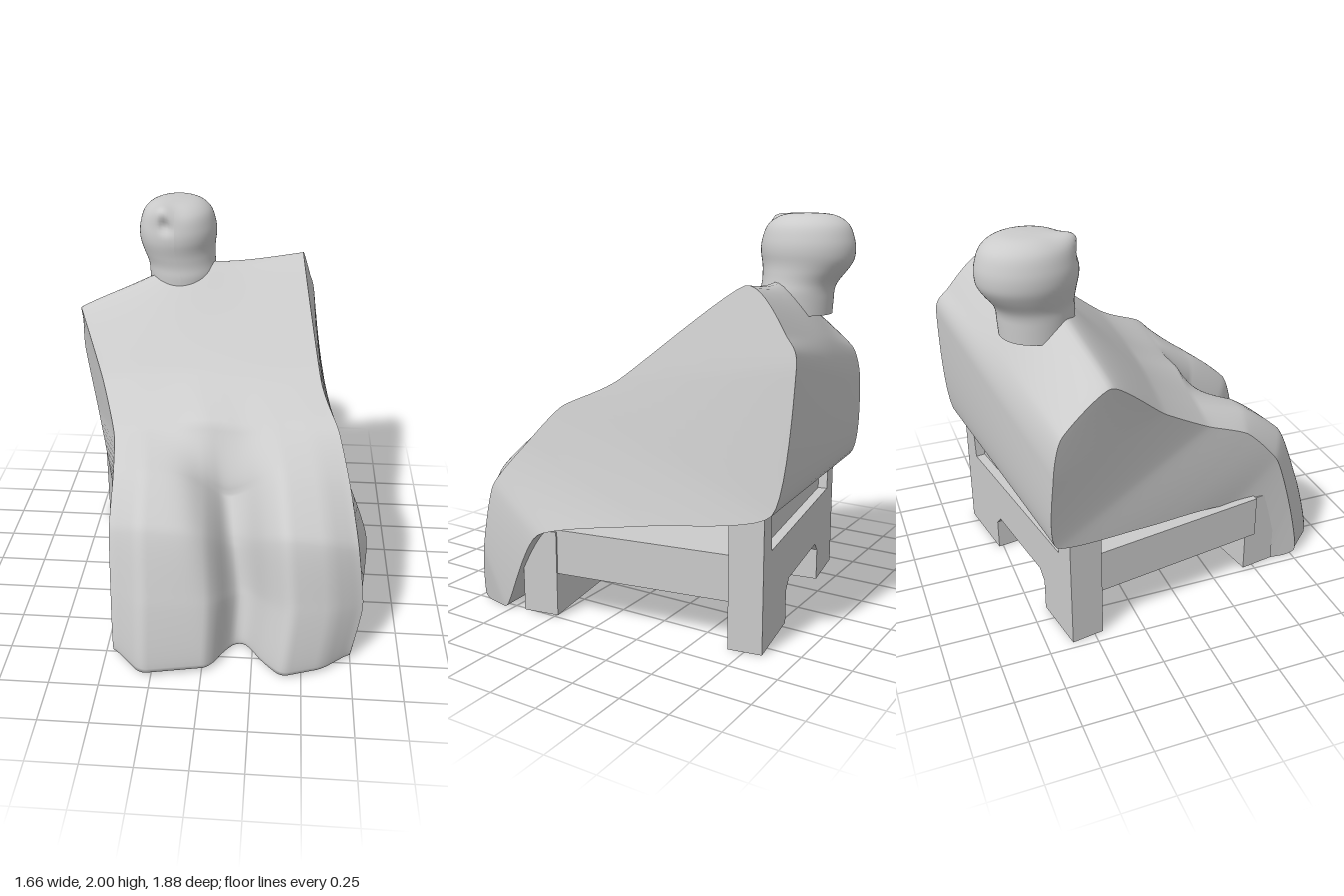
import * as THREE from 'three';

const material = new THREE.MeshStandardMaterial({ color: 0xcccccc });
const v3 = (p) => new THREE.Vector3(...p);
const bump = (d, width) => Math.exp(-((d / width) ** 2));

// Side outlines of the draped body: hem, shin, knee, lap, chest, shoulder, back, underside
const rightOutline = [
  [-0.46, 0.03, 0.76], [-0.47, 0.35, 0.7], [-0.48, 0.66, 0.6], [-0.48, 0.86, 0.42],
  [-0.51, 0.97, 0.18], [-0.61, 1.15, -0.1], [-0.77, 1.42, -0.42], [-0.82, 1.25, -0.67],
  [-0.83, 1.05, -0.72], [-0.77, 0.64, -0.7], [-0.62, 0.53, -0.2], [-0.47, 0.43, 0.36],
  [-0.44, 0.02, 0.58]];
const leftOutline = [
  [0.75, 0.02, 0.7], [0.8, 0.3, 0.66], [0.76, 0.63, 0.62], [0.71, 0.87, 0.43],
  [0.65, 1.07, 0.25], [0.56, 1.21, -0.02], [0.45, 1.69, -0.65], [0.5, 1.48, -0.89],
  [0.53, 1.35, -0.95], [0.6, 0.69, -0.88], [0.71, 0.57, -0.3], [0.83, 0.45, 0.28],
  [0.79, 0.01, 0.53]];

// Strength of the leg bulge and of the groove between the legs, per outline row
const legWeight = [1, 0.9, 0.75, 0.42, 0.1, 0, 0, 0, 0, 0, 0, 0, 0, 1];
const grooveDepth = [0.07, 0.1, 0.15, 0.15, -0.04, 0, 0, 0, 0, 0, 0, 0, 0, 0.07];
const sample = (list, row) => {
  const i = Math.min(Math.floor(row), list.length - 2);
  return THREE.MathUtils.lerp(list[i], list[i + 1], row - i);
};

// Leg bulge across the width: [position, height]
const legKnots = [[0, 0], [0.13, 1], [0.41, 0.7], [0.48, 0], [0.57, 0], [0.71, 1], [0.88, 0.65], [1, 0]];
function legBulge(u) {
  const i = Math.max(1, legKnots.findIndex((k) => k[0] >= u));
  const [u0, h0] = legKnots[i - 1], [u1, h1] = legKnots[i];
  return THREE.MathUtils.lerp(h0, h1, (u - u0) / (u1 - u0));
}

function bodyPoint(a, b, row, u) {
  const p = a.clone().lerp(b, u);
  const leg = (legBulge(Math.max(u - 0.02, 0)) + legBulge(u) + legBulge(Math.min(u + 0.02, 1))) / 3;
  const level = row > 12 ? 0 : Math.min(row, 4);
  const groove = bump(u - 0.53 + 0.02 * level, 0.06 + 0.022 * level);
  const push = 0.18 * sample(legWeight, row) * leg - sample(grooveDepth, row) * groove;
  const angle = Math.min(level * 0.36, 1.5);
  p.z += push * Math.cos(angle);
  p.y += push * Math.sin(angle);
  // rounded chest and shoulders, rising to the neck
  p.y += bump(row - 5.6, 1.15) * (0.07 * Math.sin(Math.PI * u ** 0.75)
    + 0.06 * bump(Math.hypot(p.x + 0.22, p.z + 0.6), 0.24));
  p.y = Math.max(p.y, 0);
  return p;
}

function makeGeometry(positions, indices) {
  const g = new THREE.BufferGeometry();
  g.setAttribute('position', new THREE.Float32BufferAttribute(positions, 3));
  g.setIndex(indices);
  g.computeVertexNormals();
  return g;
}

function addMesh(parent, name, geometry) {
  const mesh = new THREE.Mesh(geometry, material);
  mesh.name = name;
  parent.add(mesh);
  return mesh;
}

function createBody() {
  const group = new THREE.Group();
  group.name = 'drapedBody';
  const rows = 130, cols = 72;
  const curves = [rightOutline, leftOutline].map(
    (o) => new THREE.CatmullRomCurve3(o.map(v3), true, 'catmullrom', 0.3));

  // Cloth lofted from one side outline to the other
  const positions = [], indices = [];
  for (let i = 0; i < rows; i++) {
    const [a, b] = curves.map((c) => c.getPoint(i / rows));
    for (let j = 0; j <= cols; j++) {
      positions.push(...bodyPoint(a, b, (i / rows) * 13, j / cols).toArray());
    }
  }
  const at = (i, j) => (i % rows) * (cols + 1) + j;
  for (let i = 0; i < rows; i++) {
    for (let j = 0; j < cols; j++) {
      const a = at(i, j), b = at(i, j + 1), c = at(i + 1, j), d = at(i + 1, j + 1);
      indices.push(a, b, c, b, d, c);
    }
  }
  addMesh(group, 'clothFrontAndBack', makeGeometry(positions, indices));

  // Sides of the cloth: strips joining the front of each outline to its back
  for (const [name, j] of [['clothRightSide', 0], ['clothLeftSide', cols]]) {
    const pos = [], tris = [];
    for (let i = 0; i < rows; i++) {
      const k = at(i, j) * 3;
      pos.push(...positions.slice(k, k + 3));
    }
    for (let i = 0; i < rows / 2; i++) {
      const a = i, b = i + 1, c = (rows - i) % rows, d = rows - i - 1;
      tris.push(...(j === 0 ? [a, b, c, b, d, c] : [a, c, b, b, c, d]));
    }
    addMesh(group, name, makeGeometry(pos, tris));
  }
  return group;
}

function createHead() {
  // Short neck sunk in the shoulders; the face tilts up with a small nose and mouth
  const profile = [[0.18, 1.5], [0.186, 1.6], [0.186, 1.66], [0.197, 1.72], [0.212, 1.8],
    [0.207, 1.87], [0.178, 1.945], [0.11, 1.99], [0, 2]].map(([r, y]) => new THREE.Vector2(r, y));
  const points = new THREE.SplineCurve(profile).getPoints(48);
  points[points.length - 1].x = 0;
  const g = new THREE.LatheGeometry(points, 64);
  const pos = g.attributes.position;
  const p = new THREE.Vector3();
  const nose = new THREE.Vector3(-0.07, 1.95, 0.16), mouth = new THREE.Vector3(-0.05, 1.89, 0.19);
  for (let i = 0; i < pos.count; i++) {
    p.fromBufferAttribute(pos, i);
    const n = bump(p.distanceTo(nose), 0.06), m = bump(p.distanceTo(mouth), 0.03);
    const neck = 1 - THREE.MathUtils.smoothstep(p.y, 1.6, 1.78);
    p.z = p.z * (1.14 - 0.14 * neck) + 0.04 * neck + 0.03 * n - 0.03 * m;
    p.x += 0.03 * neck;
    p.y += 0.03 * n;
    pos.setXYZ(i, p.x, Math.min(p.y, 2), p.z);
  }
  g.computeVertexNormals();
  const head = new THREE.Mesh(g, material);
  head.name = 'headAndNeck';
  head.position.set(-0.245, 0, -0.64);
  return head;
}

function createStool() {
  const stool = new THREE.Group();
  stool.name = 'stool';
  const box = (name, x0, x1, y0, y1, z0, z1) => {
    addMesh(stool, name, new THREE.BoxGeometry(x1 - x0, y1 - y0, z1 - z0))
      .position.set((x0 + x1) / 2, (y0 + y1) / 2, (z0 + z1) / 2);
  };
  box('seat', -0.57, 0.69, 0.23, 0.46, -0.6, 0.4);
  box('frontSupport', -0.55, 0.7, 0.01, 0.45, 0.35, 0.54);
  box('backPanel', -0.57, 0.67, 0.4, 0.64, -0.68, -0.58);

  // Back frame: two feet with an arch between them, posts rising at both ends
  const half = 0.655;
  const side = [[half, 0], [half, 0.68], [half - 0.11, 0.68], [half - 0.13, 0.47]];
  const otherSide = side.map(([x, y]) => [-x, y]).reverse();
  const arch = [[-0.34, 0], [-0.34, 0.17], [-0.29, 0.22], [0.22, 0.22], [0.27, 0.17], [0.27, 0]];
  const frame = new THREE.Shape([...side, ...otherSide, ...arch]
    .map(([x, y]) => new THREE.Vector2(x, y)));
  addMesh(stool, 'backLegs',
    new THREE.ExtrudeGeometry(frame, { depth: 0.17, bevelEnabled: false }))
    .position.set(0.055, 0, -0.73);

  stool.rotation.y = 0.165;
  return stool;
}

export function createModel() {
  const model = new THREE.Group();
  model.name = 'seatedFigure';
  model.add(createBody(), createHead(), createStool());
  return model;
}
